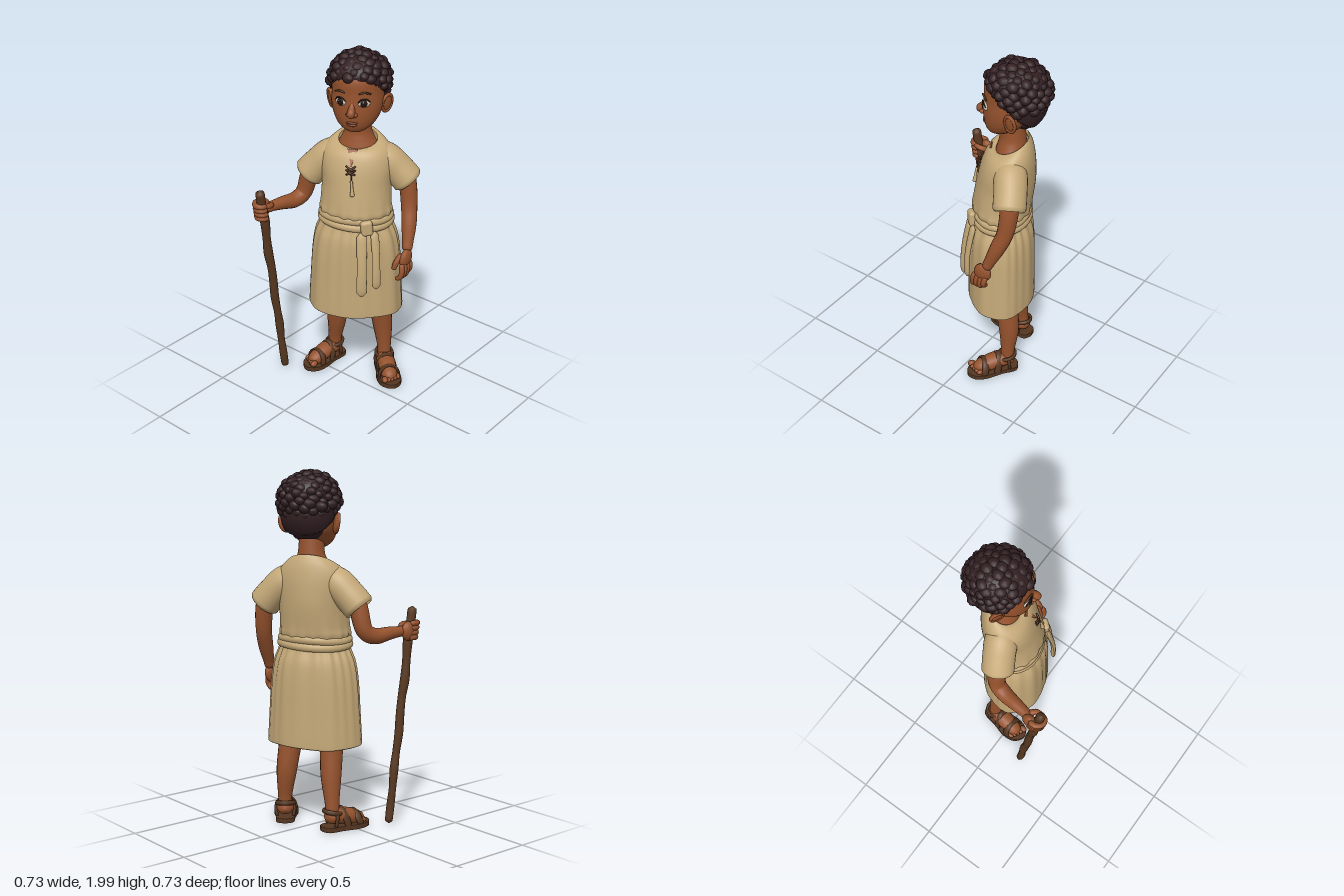
import * as THREE from 'three';
import { mergeVertices, mergeGeometries } from 'three/addons/utils/BufferGeometryUtils.js';
import { RoundedBoxGeometry } from 'three/addons/geometries/RoundedBoxGeometry.js';

const mat = (name, color, side = THREE.FrontSide) => {
  const m = new THREE.MeshStandardMaterial({ color, side });
  m.name = name;
  return m;
};
const skin = mat('skin', 0x95522d), cloth = mat('linen', 0xc4a878, THREE.DoubleSide);
const hair = mat('hair', 0x332023), wood = mat('wood', 0x573820), leather = mat('leather', 0x553621);
const white = mat('eyeWhite', 0xd9ccb8), dark = mat('iris', 0x22140f), lip = mat('lips', 0x86452b);

function add(parent, name, geometry, material, pos = [0, 0, 0], rot = [0, 0, 0], scale = [1, 1, 1]) {
  const m = new THREE.Mesh(geometry, material);
  m.name = name;
  m.position.set(...pos); m.rotation.set(...rot); m.scale.set(...scale);
  parent.add(m);
}
const ball = (parent, name, material, pos, scale, rot) =>
  add(parent, name, new THREE.SphereGeometry(1, 16, 12), material, pos, rot, scale);

// Smooth blend of equally long rows of numbers, t from 0 to 1
function blend(rows, t) {
  const n = rows.length - 1, i = Math.min(n - 1, Math.floor(t * n)), u = t * n - i;
  const at = (k) => rows[Math.max(0, Math.min(n, k))];
  return rows[i].map((b, c) => {
    const a = at(i - 1)[c], d = at(i + 1)[c], e = at(i + 2)[c];
    return b + 0.5 * u * (d - a + u * (2 * a - 5 * b + 4 * d - e + u * (3 * (b - d) + e - a)));
  });
}

// Stacked ellipses: rows are [y, half width, half depth, z centre, tilt]; rule adjusts each point
function loft(rows, rule, steps, seg) {
  const pos = [], idx = [];
  for (let i = 0; i <= steps; i++) {
    const [y, a, b, c, tilt = 0] = blend(rows, i / steps);
    for (let j = 0; j < seg; j++) {
      const th = j / seg * Math.PI * 2;
      const p = new THREE.Vector3(a * Math.sin(th), y - tilt * Math.cos(th), c + b * Math.cos(th));
      if (rule) rule(p, th, i / steps, c);
      pos.push(p.x, p.y, p.z);
      if (i < steps) {
        const k = i * seg + j, r = i * seg + (j + 1) % seg;
        idx.push(k, r, r + seg, k, r + seg, k + seg);
      }
    }
  }
  const g = new THREE.BufferGeometry();
  g.setAttribute('position', new THREE.Float32BufferAttribute(pos, 3));
  g.setIndex(idx);
  g.computeVertexNormals();
  return g;
}

// Tapered tube through points [x, y, z, radius] with rounded ends
function limb(pts, open = false, steps = 32, seg = 16) {
  const curve = new THREE.CatmullRomCurve3(pts.map(([x, y, z]) => new THREE.Vector3(x, y, z)));
  const g = new THREE.TubeGeometry(curve, steps, 1, seg);
  const P = g.attributes.position, N = g.attributes.normal, len = curve.getLength(), n = new THREE.Vector3();
  for (let i = 0; i <= steps; i++) {
    const u = i / steps, c = curve.getPointAt(u);
    let r = blend(pts.map((p) => [p[3]]), curve.getUtoTmapping(u))[0];
    const d = Math.min(u, 1 - u) * len / r;
    if (!open && d < 1) r *= Math.max(0.02, Math.sqrt(1 - (1 - d) ** 2));
    for (let j = 0; j <= seg; j++) {
      const k = i * (seg + 1) + j;
      n.fromBufferAttribute(N, k).multiplyScalar(r).add(c);
      P.setXYZ(k, n.x, n.y, n.z);
    }
  }
  g.deleteAttribute('uv'); g.deleteAttribute('normal');
  const m = mergeVertices(g, 1e-5);
  m.computeVertexNormals();
  return m;
}

function makeTunic() {
  const g = new THREE.Group();
  g.name = 'tunic';
  g.position.set(0.035, 0, -0.09); g.rotation.y = Math.PI / 6;
  // Gathered skirt with a turned-in hem
  add(g, 'skirt', loft([[0.58, 0.245, 0.168, 0], [0.475, 0.257, 0.176, 0], [0.468, 0.27, 0.188, 0], [0.49, 0.272, 0.191, 0],
    [0.65, 0.262, 0.188, 0], [0.82, 0.25, 0.184, 0], [0.93, 0.232, 0.175, 0], [1, 0.205, 0.155, 0], [1.04, 0.19, 0.145, 0]],
  (p, th, t) => {
    const s = 1 + 0.035 * t * t * Math.sin(th * 19 + 2 * Math.sin(th * 3)) + 0.012 * Math.sin(th * 7 + 1);
    p.x *= s; p.z *= s;
    p.y += 0.006 * Math.sin(th * 3) * (1 - t);
  }, 40, 128), cloth);
  // Bodice bloused over the belt, with a scooped neckline
  add(g, 'bodice', loft([[1.04, 0.185, 0.143, 0, 0], [1.09, 0.203, 0.162, 0, 0], [1.14, 0.198, 0.163, -0.005, 0],
    [1.25, 0.195, 0.16, -0.02, 0], [1.35, 0.205, 0.15, -0.03, 0], [1.42, 0.196, 0.135, -0.04, 0], [1.47, 0.162, 0.115, -0.048, 0.015],
    [1.497, 0.118, 0.092, -0.05, 0.038], [1.485, 0.106, 0.082, -0.05, 0.038]],
  (p, th, t) => {
    const s = 1 + 0.025 * Math.max(0, 1 - t * 3) * Math.sin(th * 17 + Math.sin(th * 4)) + 0.012 * Math.sin(th * 5 + t * 9) * (1 - t);
    p.x *= s; p.z *= s;
  }, 40, 112), cloth);
  for (const s of [-1, 1]) add(g, 'sleeve', limb([[s * 0.06, 1.42, -0.05, 0.06], [s * 0.145, 1.382, -0.055, 0.088],
    [s * 0.22, 1.315, -0.06, 0.089], [s * 0.28, 1.25, -0.06, 0.088], [s * 0.286, 1.243, -0.06, 0.077]], true, 24, 28), cloth);
  // Belt in two overlapping wraps
  for (const [y, k] of [[1.03, 1], [1.064, 0.98]]) {
    add(g, 'belt', loft([[y - 0.022, 0.19, 0.145, 0], [y - 0.018, 0.21 * k, 0.163 * k, 0], [y, 0.217 * k, 0.17 * k, 0],
      [y + 0.018, 0.21 * k, 0.163 * k, 0], [y + 0.022, 0.19, 0.145, 0]],
    (p, th) => { p.y += 0.006 * Math.sin(th * 2 + k * 60); }, 12, 72), cloth);
  }
  add(g, 'beltKnot', new RoundedBoxGeometry(0.068, 0.09, 0.04, 4, 0.018), cloth, [0.085, 1.04, 0.16], [0, 0.35, 0.1]);
  // Hanging belt ends, bowed outwards
  for (const [x, z, w, len, ry] of [[0.06, 0.172, 0.056, 0.39, 0.2], [0.126, 0.146, 0.046, 0.35, 0.5]]) {
    const strip = new THREE.CapsuleGeometry(0.5, 1, 4, 16, 16), P = strip.attributes.position;
    for (let i = 0; i < P.count; i++) {
      const y = P.getY(i), t = (1 - y) / 2;
      const edge = Math.min(1, Math.max(0, (1 - Math.abs(y)) * 12));
      const round = edge / Math.max(0.001, Math.hypot(P.getX(i), P.getZ(i)));
      P.setXYZ(i, P.getX(i) * round * w / 2 * (1 + 0.06 * Math.sin(t * 9)), y * len / 2,
        P.getZ(i) * round * 0.014 + 0.045 * Math.sin(t * 1.9));
    }
    strip.computeVertexNormals();
    add(g, 'beltEnd', strip, cloth, [x, 1.02 - len / 2, z], [0, ry, 0]);
  }
  // Neck slit, laces and toggle
  const slit = new THREE.Shape([new THREE.Vector2(0, 0), new THREE.Vector2(0.028, 0.1), new THREE.Vector2(-0.028, 0.1)]);
  add(g, 'neckSlit', new THREE.ExtrudeGeometry(slit, { depth: 0.006, bevelEnabled: false }), skin, [-0.012, 1.38, 0.115], [-0.62, 0, 0]);
  for (const s of [-1, 1]) {
    for (const y of [1.35, 1.372]) add(g, 'lace', limb([[-0.012 - s * 0.028, y - 0.012, 0.122, 0.005],
      [-0.012, y, 0.13, 0.006], [-0.012 + s * 0.028, y + 0.016, 0.115, 0.005]], false, 14, 8), leather);
  }
  add(g, 'laceCord', limb([[-0.01, 1.37, 0.124, 0.005], [-0.007, 1.34, 0.134, 0.005], [-0.005, 1.31, 0.141, 0.004]], false, 14, 8), leather);
  add(g, 'laceToggle', limb([[-0.005, 1.315, 0.14, 0.007], [0, 1.265, 0.147, 0.008], [0.002, 1.22, 0.152, 0.014]], false, 20, 10), cloth);
  // Neck and upper chest
  add(g, 'neck', loft([[1.38, 0.13, 0.09, -0.045], [1.45, 0.116, 0.083, -0.047], [1.5, 0.09, 0.076, -0.052],
    [1.55, 0.073, 0.07, -0.054], [1.66, 0.068, 0.068, -0.045]], null, 20, 40), skin);
  return g;
}

function makeHead() {
  const g = new THREE.Group();
  g.name = 'head';
  g.position.set(0.006, 0, -0.14); g.rotation.y = 0.45;
  add(g, 'face', loft([[1.562, 0.004, 0.004, 0.09], [1.568, 0.045, 0.036, 0.09], [1.6, 0.094, 0.085, 0.062], [1.65, 0.126, 0.122, 0.036],
    [1.71, 0.141, 0.14, 0.02], [1.78, 0.142, 0.15, 0.006], [1.86, 0.14, 0.152, 0], [1.93, 0.11, 0.12, -0.01], [1.965, 0.01, 0.01, -0.01]],
  null, 40, 56), skin);
  add(g, 'nose', limb([[0, 1.755, 0.138, 0.012], [0, 1.718, 0.153, 0.017], [0, 1.688, 0.177, 0.022], [0, 1.672, 0.164, 0.018]]), skin);
  ball(g, 'upperLip', lip, [0, 1.63, 0.152], [0.032, 0.007, 0.012]);
  ball(g, 'lowerLip', lip, [0, 1.618, 0.149], [0.027, 0.009, 0.013]);
  for (const s of [-1, 1]) {
    ball(g, 'nostril', skin, [s * 0.018, 1.68, 0.163], [0.015, 0.013, 0.016]);
    // Eye with lashes and brow
    const e = new THREE.Group();
    e.name = 'eye';
    e.position.set(s * 0.062, 1.745, 0.139); e.rotation.y = s * 0.36;
    ball(e, 'eyeWhite', white, [0, 0, 0], [0.035, 0.024, 0.016]);
    ball(e, 'iris', dark, [-s * 0.002, 0, 0.012], [0.019, 0.021, 0.007]);
    ball(e, 'glint', white, [-0.005, 0.008, 0.018], [0.003, 0.003, 0.0015]);
    add(e, 'lashes', limb([[-0.033, 0.002, 0.007, 0.003], [-0.016, 0.021, 0.012, 0.004], [0.014, 0.022, 0.012, 0.004],
      [0.034, 0.004, 0.006, 0.003]], false, 20, 8), dark);
    add(e, 'brow', limb([[-s * 0.03, 0.053, 0.009, 0.004], [0, 0.06, 0.01, 0.006], [s * 0.04, 0.048, 0.002, 0.004]], false, 20, 8), leather);
    g.add(e);
    // Forward-cupped ear with raised rim
    const ear = new THREE.Group();
    ear.name = 'ear';
    ear.position.set(s * 0.152, 1.7, -0.005); ear.rotation.set(-0.1, -s * 0.6, -s * 0.18);
    ball(ear, 'earBowl', skin, [0, 0, 0], [0.014, 0.054, 0.04]);
    add(ear, 'earRim', new THREE.TorusGeometry(0.04, 0.009, 8, 28), skin, [s * 0.006, 0.004, 0], [0, Math.PI / 2, 0], [0.85, 1.2, 1]);
    g.add(ear);
  }
  // Hair cap, tucked into the skull below the hairline
  const line = (z) => 1.75 + z * (z > 0 ? 0.78 : 0.9);
  add(g, 'hairCap', loft([[1.62, 0.08, 0.05, -0.06], [1.66, 0.122, 0.098, -0.052], [1.72, 0.148, 0.137, -0.04], [1.8, 0.16, 0.162, -0.02],
    [1.88, 0.153, 0.162, -0.015], [1.93, 0.122, 0.13, -0.015], [1.965, 0.065, 0.07, -0.015], [1.972, 0.003, 0.003, -0.015]],
  (p, th, t, c) => {
    if (p.y < line(p.z)) { p.x *= 0.78; p.z = c + (p.z - c) * 0.78; }
  }, 48, 72), hair);
  // Chunky curls of uneven size over the crown
  const curls = [];
  for (let i = 0; i < 150; i++) {
    const h = 1 - 2 * (i + 0.5) / 150, a = i * 2.39996, r = Math.sqrt(1 - h * h);
    const wob = Math.sin(i * 12.9898 + 1) * 43758.5453, rnd = wob - Math.floor(wob), k = 0.97 + 0.06 * rnd;
    const x = 0.152 * k * r * Math.sin(a + 0.15 * rnd), y = 1.822 + 0.14 * k * h, z = -0.018 + 0.158 * k * r * Math.cos(a + 0.15 * rnd);
    if (y < line(z) + 0.016 || y < 1.71) continue;
    const curl = new THREE.SphereGeometry(0.025 + 0.01 * ((rnd * 7) % 1), 10, 8);
    curls.push(curl.scale(1.1, 0.9, 1).rotateY(rnd * 6).translate(x, y, z));
  }
  add(g, 'curls', mergeGeometries(curls), hair);
  return g;
}

function makeFoot(x, z, yaw) {
  const g = new THREE.Group();
  g.name = 'foot';
  g.position.set(x, 0, z); g.rotation.y = yaw;
  const inner = x < 0 ? 1 : -1;
  // Sole outline runs from the heel round the toe
  const outline = new THREE.SplineCurve([[0, -0.15], [0.046, -0.128], [0.052, -0.04], [0.067, 0.05], [0.057, 0.118],
    [0.008, 0.154], [-0.05, 0.122], [-0.069, 0.05], [-0.055, -0.04], [-0.046, -0.128], [0, -0.15]].map((p) => new THREE.Vector2(...p)));
  add(g, 'sole', new THREE.ExtrudeGeometry(new THREE.Shape(outline.getPoints(40).slice(0, -1)),
    { depth: 0.022, bevelSize: 0.003, bevelThickness: 0.003, bevelSegments: 2 }), leather, [0, 0.025, 0], [Math.PI / 2, 0, 0]);
  add(g, 'footBody', limb([[0, 0.07, -0.13, 0.04], [0, 0.08, -0.07, 0.046], [0, 0.068, 0.01, 0.047], [0, 0.05, 0.07, 0.042],
    [0, 0.044, 0.12, 0.03]]), skin, [0, 0, 0], [0, 0, 0], [1.1, 1, 1]);
  for (let i = 0; i < 5; i++) {
    const r = i ? 0.0135 : 0.018;
    ball(g, 'toe', skin, [inner * (0.038 - i * 0.02 + (i ? -0.004 : 0)), 0.027 + r, 0.12 - i * 0.008], [r, r, 0.024]);
  }
  for (const [sz, w, h] of [[0.066, 0.06, 0.072], [-0.012, 0.056, 0.095]]) add(g, 'footStrap',
    new THREE.TorusGeometry(1, 0.14, 8, 28, Math.PI), leather, [0, 0.026, sz], [-0.25, 0, 0], [w, h, 0.15]);
  add(g, 'ankleStrap', new THREE.TorusGeometry(0.049, 0.009, 8, 28), leather, [0, 0.104, -0.083], [Math.PI / 2 + 0.2, 0, 0], [1, 1.05, 1.5]);
  for (const s of [-1, 1]) add(g, 'sideStrap', limb([[s * 0.046, 0.024, -0.09, 0.01], [s * 0.053, 0.07, -0.085, 0.01],
    [s * 0.047, 0.108, -0.08, 0.01]], false, 16, 8), leather);
  return g;
}

export function createModel() {
  const model = new THREE.Group();
  model.name = 'childWithStaff';
  model.add(makeTunic(), makeHead(), makeFoot(-0.16, -0.035, -0.12), makeFoot(0.222, -0.16, 0.88));
  // Legs
  add(model, 'rightLeg', limb([[-0.075, 0.72, -0.06, 0.08], [-0.095, 0.46, -0.08, 0.066], [-0.115, 0.3, -0.1, 0.058],
    [-0.143, 0.14, -0.115, 0.04], [-0.148, 0.06, -0.117, 0.042]]), skin);
  add(model, 'leftLeg', limb([[0.125, 0.72, -0.14, 0.08], [0.135, 0.46, -0.19, 0.066], [0.14, 0.3, -0.215, 0.058],
    [0.154, 0.14, -0.217, 0.04], [0.156, 0.06, -0.214, 0.042]]), skin);
  // Arms
  add(model, 'rightArm', limb([[-0.19, 1.38, -0.01, 0.055], [-0.24, 1.23, -0.005, 0.052], [-0.268, 1.12, 0.015, 0.047],
    [-0.282, 1.092, 0.07, 0.045], [-0.297, 1.1, 0.16, 0.037], [-0.308, 1.105, 0.235, 0.03], [-0.318, 1.105, 0.28, 0.034]], false, 50), skin);
  add(model, 'leftArm', limb([[0.2, 1.38, -0.26, 0.055], [0.245, 1.24, -0.28, 0.051], [0.27, 1.1, -0.27, 0.046],
    [0.296, 1, -0.238, 0.042], [0.318, 0.9, -0.2, 0.031], [0.326, 0.86, -0.185, 0.032]], false, 50), skin);
  // Gripping right hand
  ball(model, 'rightPalm', skin, [-0.33, 1.105, 0.277], [0.03, 0.054, 0.047]);
  for (let i = 0; i < 4; i++) {
    const y = 1.148 - i * 0.026, z = 0.309 - i * 0.004;
    add(model, 'rightFinger', limb([[-0.345, y, z - 0.03, 0.016], [-0.345, y, z + 0.015, 0.017], [-0.315, y - 0.003, z + 0.042, 0.016],
      [-0.282, y - 0.004, z + 0.03, 0.015], [-0.275, y - 0.004, z, 0.013]], false, 24, 12), skin);
  }
  add(model, 'rightThumb', limb([[-0.3, 1.12, 0.25, 0.018], [-0.275, 1.135, 0.28, 0.016], [-0.275, 1.142, 0.325, 0.013]], false, 20, 12), skin);
  // Relaxed left hand
  ball(model, 'leftPalm', skin, [0.332, 0.83, -0.168], [0.026, 0.058, 0.052], [-0.35, 0.1, 0]);
  for (let i = 0; i < 4; i++) {
    const z = -0.122 - i * 0.024, d = i === 3 ? 0.015 : 0;
    add(model, 'leftFinger', limb([[0.338, 0.815, z, 0.015], [0.348, 0.775, z + 0.008, 0.0155], [0.34, 0.735 + d, z + 0.014, 0.014],
      [0.31, 0.718 + d, z + 0.016, 0.012]], false, 24, 12), skin);
  }
  add(model, 'leftThumb', limb([[0.32, 0.86, -0.15, 0.019], [0.306, 0.815, -0.115, 0.017], [0.298, 0.77, -0.1, 0.013]], false, 20, 12), skin);
  // Knobbly walking staff
  const staff = [];
  for (let i = 0; i <= 12; i++) {
    const t = i / 12;
    staff.push([-0.292 - 0.011 * t + 0.0025 * Math.sin(i * 2.1), 0.012 + 1.226 * t, 0.175 + 0.155 * t + 0.0025 * Math.sin(i * 1.7),
      0.022 + 0.005 * t + 0.002 * Math.sin(i * 2.6)]);
  }
  add(model, 'staff', limb(staff, false, 90, 12), wood);
  return model;
}
